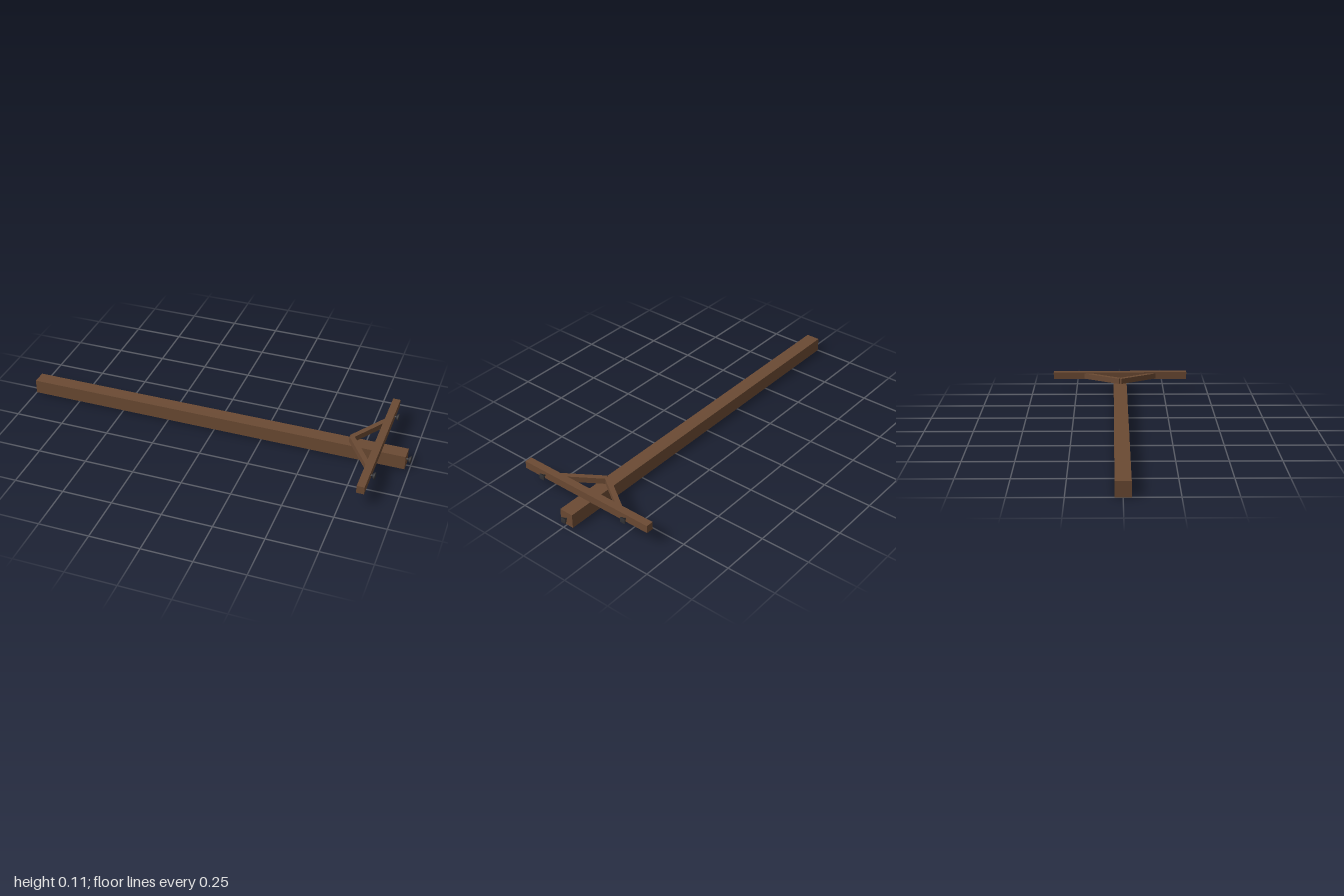
import * as THREE from 'three';

export function createModel() {
  const group = new THREE.Group();
  const wood = new THREE.MeshStandardMaterial({ color: 0x6b4a33 });
  wood.name = 'brown wood';
  const dark = new THREE.MeshStandardMaterial({ color: 0x333336 });
  dark.name = 'dark ceramic';

  function box(name, w, h, d, x, y, z) {
    const mesh = new THREE.Mesh(new THREE.BoxGeometry(w, h, d), wood);
    mesh.name = name;
    mesh.position.set(x, y, z);
    group.add(mesh);
    return mesh;
  }

  // Long square pole lying along x, with the crossarm resting on it
  box('pole', 1.977, 0.073, 0.073, -0.0115, 0.0365, 0);
  box('crossarm', 0.038, 0.04, 0.76, 0.838, 0.092, 0);

  // Diagonal braces from the pole to the crossarm
  const start = new THREE.Vector2(0.7, 0);
  for (const side of [-1, 1]) {
    const end = new THREE.Vector2(0.835, side * 0.205);
    const brace = box('brace', start.distanceTo(end), 0.03, 0.025,
      (start.x + end.x) / 2, 0.09, end.y / 2);
    brace.rotation.y = -Math.atan2(end.y - start.y, end.x - start.x);
  }

  // Four-sided insulators: narrow pin flaring to a square head
  const profile = [[0.005, 0], [0.005, 0.008], [0.011, 0.01], [0.0184, 0.019],
    [0.0184, 0.023], [0, 0.023]].map(([r, y]) => new THREE.Vector2(r, y));
  const insulatorGeometry = new THREE.LatheGeometry(profile, 4, Math.PI / 4);
  insulatorGeometry.rotateZ(-Math.PI / 2);
  for (const [x, y, z] of [[0.977, 0.037, 0], [0.856, 0.091, 0.253], [0.856, 0.091, -0.253]]) {
    const insulator = new THREE.Mesh(insulatorGeometry, dark);
    insulator.name = 'insulator';
    insulator.position.set(x, y, z);
    group.add(insulator);
  }
  return group;
}
